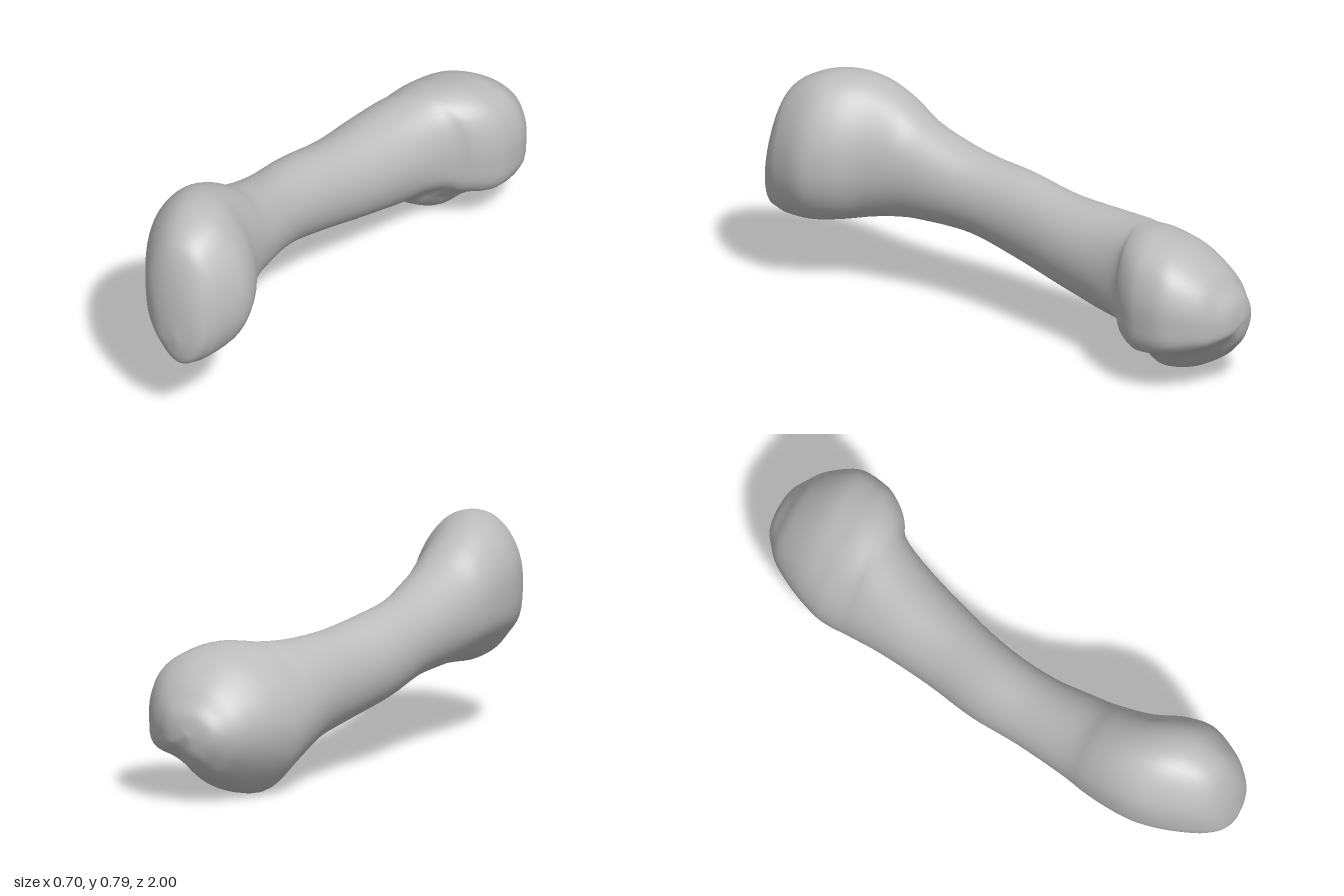
import * as THREE from 'three';
import { mergeVertices } from 'three/addons/utils/BufferGeometryUtils.js';

// Bounds of each cross-section, back to front: z, x min, x max, y min, y max
const rings = [
  [-1, 0.1, 0.1, 0.25, 0.25],
  [-0.985, 0.02, 0.18, 0.18, 0.32],
  [-0.95, -0.03, 0.235, 0.13, 0.37],
  [-0.9, -0.08, 0.29, 0.085, 0.43],
  [-0.8, -0.135, 0.345, 0.03, 0.5],
  [-0.7, -0.17, 0.34, 0.003, 0.525],
  [-0.64, -0.18, 0.315, 0.005, 0.53],
  [-0.58, -0.184, 0.265, 0.04, 0.522],
  [-0.53, -0.188, 0.2, 0.075, 0.516],
  [-0.4, -0.2, 0.14, 0.135, 0.51],
  [-0.2, -0.225, 0.07, 0.18, 0.515],
  [0, -0.265, 0.01, 0.225, 0.545],
  [0.2, -0.285, -0.02, 0.275, 0.575],
  [0.4, -0.315, -0.015, 0.285, 0.645],
  [0.5, -0.338, -0.005, 0.28, 0.71],
  [0.6, -0.35, 0.02, 0.267, 0.76],
  [0.7, -0.348, 0.068, 0.25, 0.785],
  [0.8, -0.32, 0.088, 0.238, 0.778],
  [0.9, -0.27, 0.052, 0.238, 0.73],
  [0.95, -0.23, 0.02, 0.25, 0.66],
  [0.985, -0.175, -0.02, 0.275, 0.53],
  [1, -0.1, -0.1, 0.37, 0.37],
];
// Outline radii every 22.5 degrees, starting at +x and turning towards +y
const backOutline = [1, 1.05, 1.1, 1.06, 1, 0.97, 0.95, 0.97, 1, 1.01, 1.02, 1.06, 0.95, 0.78, 0.79, 1];
const frontOutline = [0.97, 0.92, 0.91, 0.95, 0.99, 1.04, 1.05, 1.04, 1, 1, 0.93, 0.95, 1, 1.03, 1.05, 1.03];

// Smooth curve through four neighbouring values
function spline(a, b, c, d, t) {
  return b + 0.5 * t * (c - a + t * (2 * a - 5 * b + 4 * c - d + t * (3 * (b - c) + d - a)));
}

function radiusAt(outline, angle) {
  const n = outline.length;
  const s = angle / (2 * Math.PI) * n;
  const i = Math.floor(s);
  const at = k => outline[(k + n) % n];
  return spline(at(i - 1), at(i), at(i + 1), at(i + 2), s - i);
}

function ringAt(s) {
  const last = rings.length - 1;
  const i = Math.min(Math.floor(s), last - 1);
  const at = k => rings[Math.max(0, Math.min(last, k))];
  return rings[0].map((_, k) => spline(at(i - 1)[k], at(i)[k], at(i + 1)[k], at(i + 2)[k], s - i));
}

function boneGeometry(sides = 64, steps = 5) {
  const positions = [], index = [];
  const count = (rings.length - 1) * steps;
  for (let j = 0; j <= count; j++) {
    const [z, x0, x1, y0, y1] = ringAt(j / steps);
    // Lobed joint at the back, round shaft, egg-shaped joint in front
    const back = 1 - THREE.MathUtils.smoothstep(z, -0.62, -0.35);
    const front = THREE.MathUtils.smoothstep(z, 0.3, 0.65);
    for (let i = 0; i < sides; i++) {
      const a = i / sides * 2 * Math.PI;
      const r = 1 + back * (radiusAt(backOutline, a) - 1) + front * (radiusAt(frontOutline, a) - 1);
      positions.push(
        (x0 + x1) / 2 + (x1 - x0) / 2 * r * Math.cos(a),
        (y0 + y1) / 2 + (y1 - y0) / 2 * r * Math.sin(a),
        z);
      if (j < count) {
        const p = j * sides + i, q = j * sides + (i + 1) % sides;
        index.push(p, q, q + sides, p, q + sides, p + sides);
      }
    }
  }
  const geometry = new THREE.BufferGeometry();
  geometry.setAttribute('position', new THREE.Float32BufferAttribute(positions, 3));
  geometry.setIndex(index);
  const merged = mergeVertices(geometry, 1e-5);
  merged.computeVertexNormals();
  return merged;
}

export function createModel() {
  const group = new THREE.Group();
  group.name = 'bone';
  const boneGrey = new THREE.MeshStandardMaterial({ color: 0xbcbcbc });
  boneGrey.name = 'bone grey';
  const bone = new THREE.Mesh(boneGeometry(), boneGrey);
  bone.name = 'boneShaftAndJoints';
  group.add(bone);
  return group;
}
